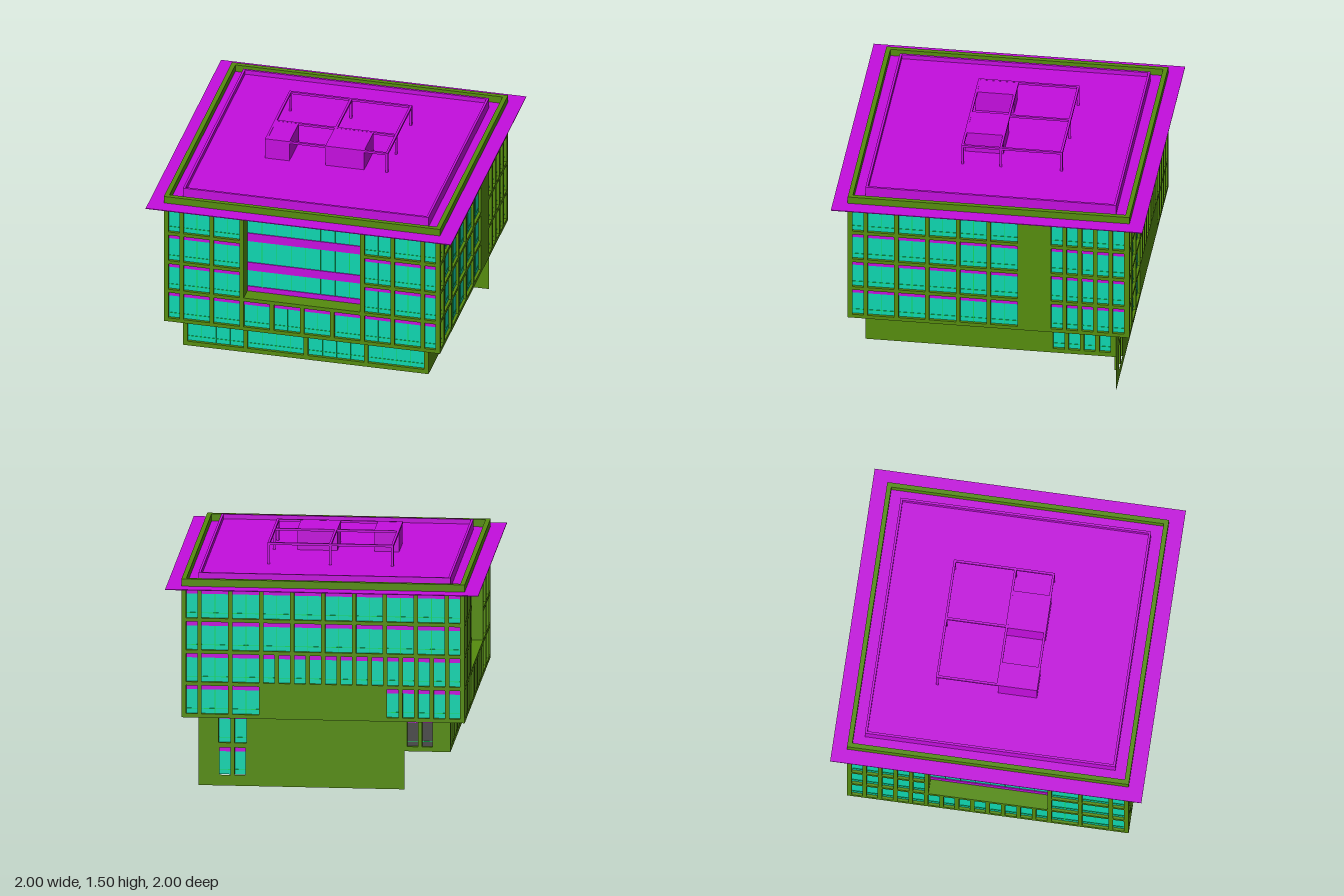
import * as THREE from 'three';

const mat = (color) => new THREE.MeshStandardMaterial({ color, side: THREE.DoubleSide });
const GREEN = mat(0x558c0e), MAGENTA = mat(0xc40ede), TEAL = mat(0x0ed6b0), FRAME = mat(0x10d860), DARK = mat(0x4a4a4a);
const unitBox = new THREE.BoxGeometry(1, 1, 1);

// Box given by its limits on each axis
function box(parent, name, m, x0, x1, y0, y1, z0, z1) {
  const b = new THREE.Mesh(unitBox, m);
  b.name = name;
  b.scale.set(x1 - x0, y1 - y0, z1 - z0);
  b.position.set((x0 + x1) / 2, (y0 + y1) / 2, (z0 + z1) / 2);
  parent.add(b);
  return b;
}

function rect(ShapeType, u0, u1, y0, y1) {
  return new ShapeType([[u0, y0], [u1, y0], [u1, y1], [u0, y1]].map(([u, y]) => new THREE.Vector2(u, y)));
}

// Sheet of wall with rectangular openings
function wallShape(u0, u1, y0, y1, openings) {
  const s = rect(THREE.Shape, u0, u1, y0, y1);
  for (const o of openings) s.holes.push(rect(THREE.Path, o.u0, o.u1, o.y0, o.y1));
  return s;
}

// Square ring lying flat
function ring(parent, name, m, outer, inner, y0, y1) {
  const s = rect(THREE.Shape, -outer, outer, -outer, outer);
  s.holes.push(rect(THREE.Path, -inner, inner, -inner, inner));
  const g = new THREE.ExtrudeGeometry(s, { depth: y1 - y0, bevelEnabled: false }).rotateX(-Math.PI / 2);
  const mesh = new THREE.Mesh(g, m);
  mesh.name = name;
  mesh.position.y = y0;
  parent.add(mesh);
}

// Window openings between neighbouring posts
const POST = 0.027;
function bays(posts, y0, height = 0.185) {
  return posts.slice(1).map((p, i) => ({ u0: posts[i] + POST / 2, u1: p - POST / 2, y0, y1: y0 + height }));
}
const split = (a, b, n) => Array.from({ length: n + 1 }, (_, i) => a + (b - a) * i / n);

// Glass, coloured head panel and thin bars of one window
function glaze(parent, o, d, pane = TEAL) {
  const head = o.y1 - 0.028, w = o.u1 - o.u0;
  box(parent, 'glass', pane, o.u0, o.u1, o.y0, head, d - 0.024, d - 0.018);
  box(parent, 'headPanel', MAGENTA, o.u0, o.u1, head, o.y1, d - 0.024, d - 0.014);
  box(parent, 'transom', FRAME, o.u0, o.u1, o.y0 + 0.03, o.y0 + 0.034, d - 0.026, d - 0.015);
  const n = w > 0.3 ? 4 : w > 0.1 ? 2 : 1;
  for (let i = 1; i < n; i++) {
    const u = o.u0 + w * i / n;
    box(parent, 'mullion', FRAME, u - 0.002, u + 0.002, o.y0, head, d - 0.026, d - 0.015);
  }
}

// Wall at distance d from the centre, pierced and glazed
function wall(parent, name, d, y0, y1, windows, others = []) {
  const g = new THREE.ExtrudeGeometry(wallShape(-d, d, y0, y1, [...windows, ...others]), { depth: 0.03, bevelEnabled: false });
  const m = new THREE.Mesh(g, GREEN);
  m.name = name;
  m.position.z = d - 0.03;
  parent.add(m);
  windows.forEach((o) => glaze(parent, o, d, o.pane));
}

// Three-storey loggia set back behind the facade
function loggia(parent, o) {
  const back = 0.8, front = 0.88, t = 0.015;
  for (const u of [o.u0 - t, o.u1]) box(parent, 'loggiaJamb', GREEN, u, u + t, o.y0, o.y1, back - 0.02, front);
  for (const y of [o.y0 - t, o.y1]) box(parent, 'loggiaSlab', GREEN, o.u0 - t, o.u1 + t, y, y + t, back - 0.02, front);
  box(parent, 'loggiaGlass', TEAL, o.u0, o.u1, o.y0, o.y1, back - 0.01, back);
  for (const [a, b] of [[0.7, 0.735], [0.85, 0.908], [1.062, 1.12]])
    box(parent, 'loggiaBand', MAGENTA, o.u0, o.u1, a, b, back - 0.016, back + 0.006);
  box(parent, 'loggiaHead', GREEN, o.u0, o.u1, 1.272, 1.3, back - 0.016, back + 0.006);
  for (const u of split(o.u0, o.u1, 8).slice(1, -1))
    box(parent, 'loggiaMullion', FRAME, u - 0.002, u + 0.002, o.y0, o.y1, back - 0.012, back + 0.004);
}

export function createModel() {
  const model = new THREE.Group();
  const face = (name, turn) => {
    const g = new THREE.Group();
    g.name = name;
    g.rotation.y = turn * Math.PI / 2;
    model.add(g);
    return g;
  };
  const rows = [0, 1, 2, 3].map((i) => 0.49 + i * 0.2085);
  const wideEnd = [0.395, 0.5925, 0.79, 0.8925];
  const wideStart = wideEnd.map((v) => -v).reverse();
  const wideAll = [...wideStart, -0.1975, 0, 0.1975, ...wideEnd];
  const LOW = 0.28, D = 0.905, L = 0.805, T = 1.37, M = 0.465, B = 0.25;
  const recess = { u0: -0.382, u1: 0.382, y0: 0.7, y1: 1.3 };

  // Front facade
  const front = face('frontFacade', 0);
  wall(front, 'upperWall', D, M, T, rows.flatMap((y, i) =>
    i ? [...bays(wideStart, y), ...bays(wideEnd, y)] : bays(wideAll, y)), [recess]);
  loggia(front, recess);
  wall(front, 'lowerWall', L, B, M, bays(split(-0.79, 0.79, 4), LOW, 0.182));

  // Left facade, with a blank vertical strip
  const left = face('leftFacade', 1);
  const slim = split(0.3875, 0.8825, 5);
  wall(left, 'upperWall', D, M, T, rows.flatMap((y) =>
    [...bays([...wideStart, -0.1975, 0, 0.1975], y), ...bays(slim, y)]));
  wall(left, 'lowerWall', L, B, M, bays(slim.slice(0, 5), LOW, 0.182));

  // Back facade, mixed window widths around a blank panel
  const back = face('backFacade', 2);
  wall(back, 'upperWall', D, M, T, rows.flatMap((y, i) => {
    if (i > 1) return bays(wideAll, y);
    const narrow = i ? split(-0.395, 0.8925, 13) : split(0.395, 0.8925, 5);
    return [...bays(wideStart, y), ...bays(narrow, y)];
  }));
  const pair = [-0.69, -0.5875, -0.485];
  const greyPair = bays([0.515, 0.61, 0.705], LOW, 0.182).map((o) => ({ ...o, pane: DARK }));
  wall(back, 'lowerWall', L, B, M, [...bays(pair, LOW, 0.182), ...greyPair]);

  // Thin wall dropping to the ground, with its window
  const dropOpening = { u0: -0.677, u1: -0.5, y0: 0.07, y1: 0.249 };
  const drop = new THREE.Mesh(new THREE.ShapeGeometry(wallShape(-0.805, 0.51, 0, B, [dropOpening])), GREEN);
  drop.name = 'groundWall';
  drop.position.z = L;
  back.add(drop);
  bays(pair, 0.07, 0.179).forEach((o) => glaze(back, o, L));
  for (const [a, b] of [[-0.677, -0.672], [-0.601, -0.574], [-0.505, -0.5]])
    box(back, 'windowPost', GREEN, a, b, 0.07, B, L - 0.027, L);

  // Right facade
  const right = face('rightFacade', -1);
  wall(right, 'upperWall', D, M, T, rows.flatMap((y, i) => i
    ? [...bays(split(-0.8925, -0.395, 5), y), ...bays(wideEnd, y)]
    : [...bays(split(-0.8925, 0.395, 13), y), ...bays(wideEnd, y)]), [recess]);
  loggia(right, recess);
  wall(right, 'lowerWall', L, B, M, bays(split(-0.79, 0.395, 12), LOW, 0.182));

  // Overhang floor, eaves, roof deck and kerb
  ring(model, 'overhangFloor', GREEN, 0.904, 0.77, M, M + 0.02);
  box(model, 'eaves', MAGENTA, -1, 1, 1.318, 1.323, -1, 1);
  box(model, 'eavesSoffit', MAGENTA, -0.96, 0.96, 1.313, 1.318, -0.96, 0.96);
  box(model, 'roofDeck', MAGENTA, -0.795, 0.795, 1.323, 1.36, -0.795, 0.795);
  ring(model, 'roofKerb', MAGENTA, 0.805, 0.79, 1.323, 1.39);

  // Rooftop frame and plant boxes
  const roof = new THREE.Group();
  roof.name = 'rooftopFrame';
  model.add(roof);
  const w = 0.015, y0 = 1.36, y1 = 1.5, yb = 1.485;
  for (const z of [-0.405, -0.015, 0.23]) box(roof, 'beam', MAGENTA, -0.405, 0.4, yb, y1, z, z + w);
  for (const x of [-0.405, 0.385]) box(roof, 'beam', MAGENTA, x, x + w, yb, y1, -0.405, 0.245);
  box(roof, 'beam', MAGENTA, -0.0075, 0.0075, yb, y1, -0.405, 0);
  for (const [x, z] of [[-0.405, -0.405], [-0.0075, -0.405], [0.385, -0.405], [0.385, -0.015], [0.385, 0.23]])
    box(roof, 'post', MAGENTA, x, x + w, y0, yb, z, z + w);
  box(roof, 'plantBox', MAGENTA, -0.404, -0.245, y0, y1 - 0.001, -0.005, 0.244);
  box(roof, 'plantBox', MAGENTA, -0.01, 0.245, y0, y1 - 0.001, -0.005, 0.244);
  return model;
}
